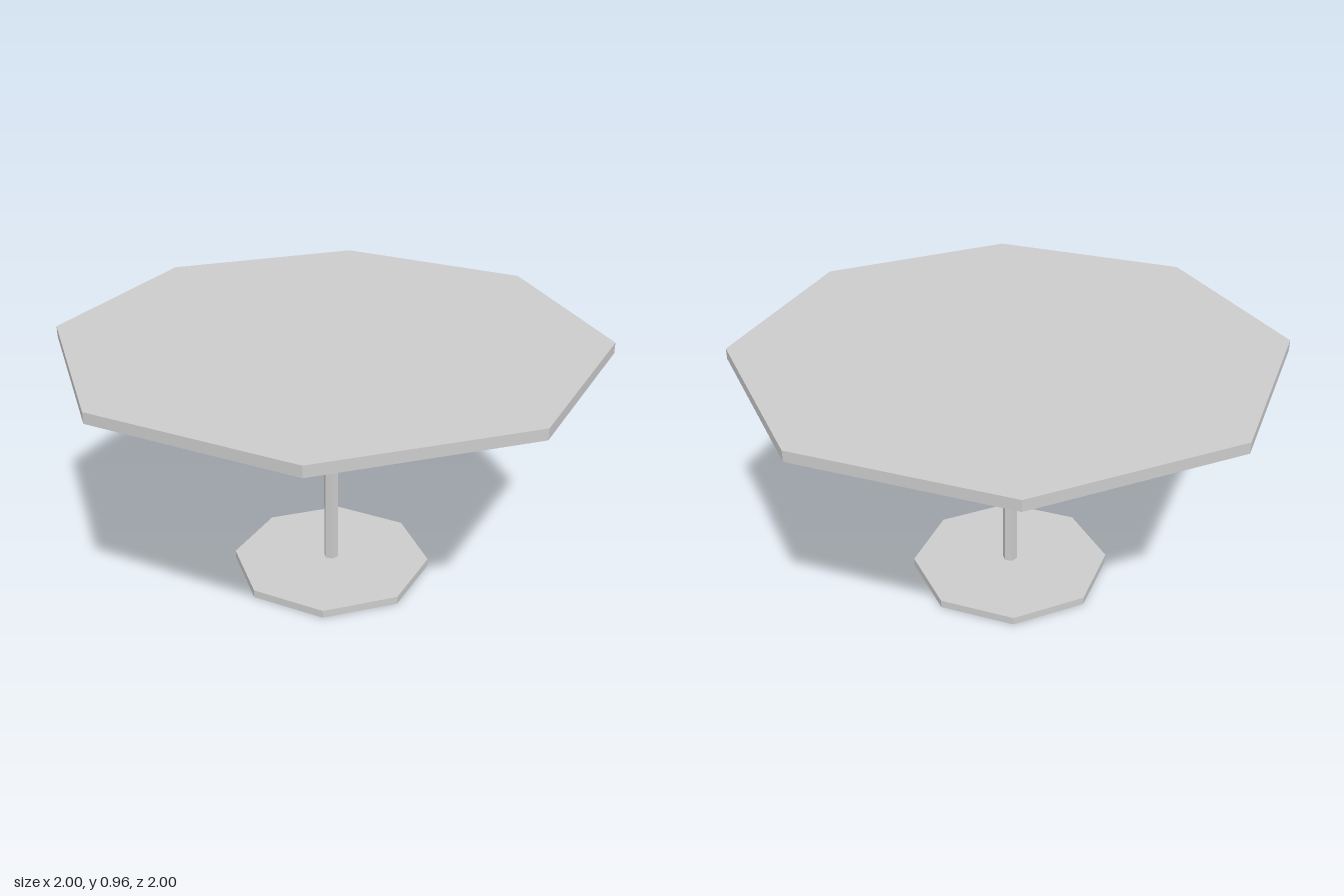
import * as THREE from 'three';

const material = new THREE.MeshStandardMaterial({ color: 0xcccccc, flatShading: true });

// Upright prism between two heights
function prism(name, radius, sides, bottom, top) {
  const geometry = new THREE.CylinderGeometry(radius, radius, top - bottom, sides);
  const mesh = new THREE.Mesh(geometry, material);
  mesh.name = name;
  mesh.position.y = (bottom + top) / 2;
  return mesh;
}

export function createModel() {
  const table = new THREE.Group();
  table.name = 'pedestalTable';

  // Octagonal foot plate and tabletop, corners on the axes
  const base = prism('base', 0.38, 8, 0, 0.03);
  const tabletop = prism('tabletop', 1, 8, 0.92, 0.96);

  // Hexagonal post with two corners on the x axis
  const post = prism('post', 0.028, 6, 0.03, 0.92);
  post.rotation.y = Math.PI / 2;

  table.add(base, post, tabletop);
  return table;
}
